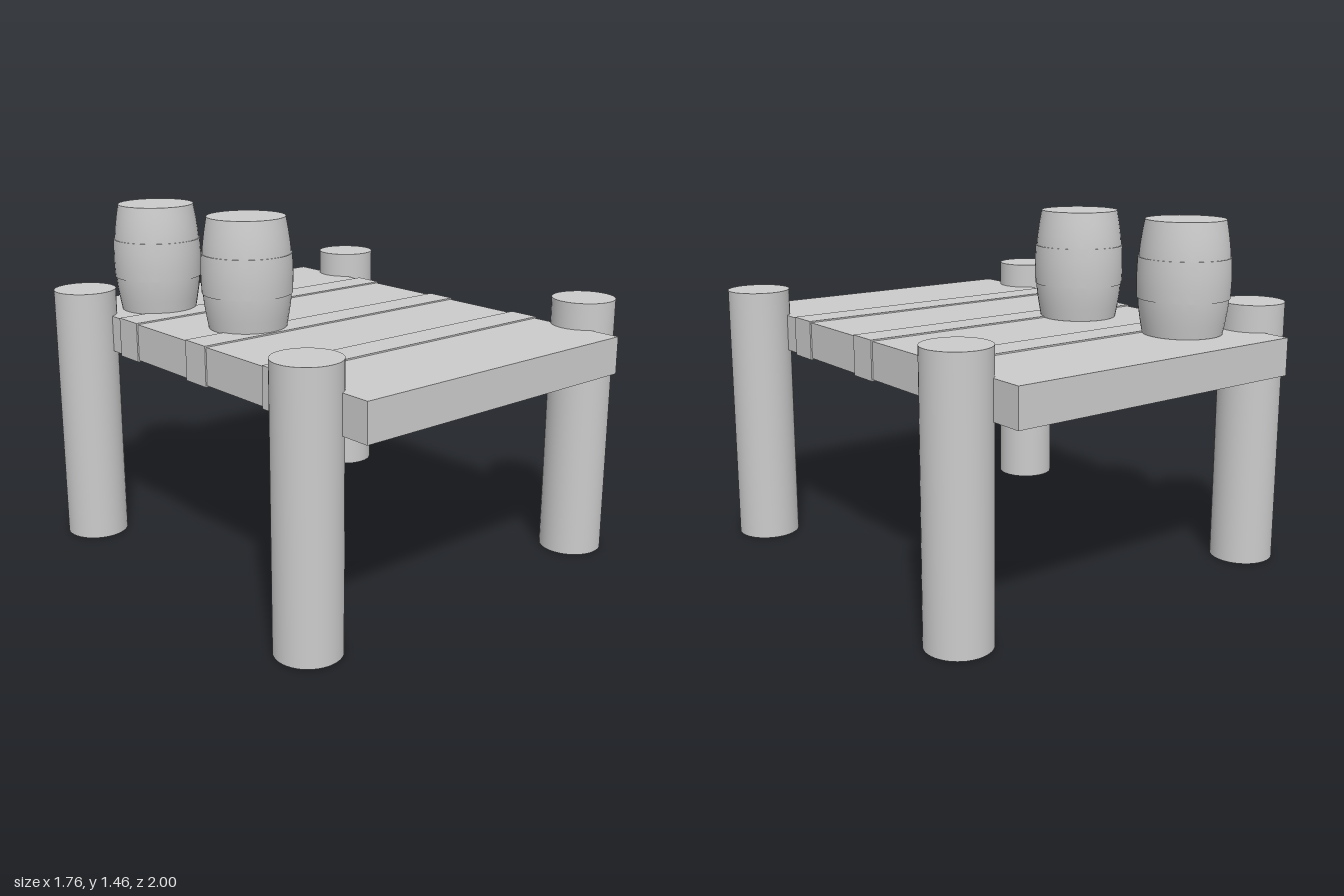
import * as THREE from 'three';
import { toCreasedNormals } from 'three/addons/utils/BufferGeometryUtils.js';

const material = new THREE.MeshStandardMaterial({ color: 0xcccccc });

export function createModel() {
  const model = new THREE.Group();
  model.name = 'pier';

  function add(parent, name, geometry, x, y, z) {
    const mesh = new THREE.Mesh(geometry, material);
    mesh.name = name;
    mesh.position.set(x, y, z);
    parent.add(mesh);
  }

  // Deck slab with three slightly proud cross planks
  const deck = new THREE.Group();
  deck.name = 'deck';
  model.add(deck);
  add(deck, 'deckSlab', new THREE.BoxGeometry(1.36, 0.155, 2), -0.01, 0.923, 0);
  for (const z of [-0.5, 0, 0.5]) {
    add(deck, 'crossPlank', new THREE.BoxGeometry(1.373, 0.167, 0.135), -0.01, 0.923, z);
  }

  // Round corner posts
  const post = new THREE.CylinderGeometry(0.132, 0.132, 1.112, 48);
  for (const x of [-0.75, 0.75]) {
    for (const z of [-0.757, 0.757]) add(model, 'post', post, x, 0.556, z);
  }

  // Barrel: bulging staves with a stepped middle band
  const profile = [
    [0, 0], [0.163, 0], [0.172, 0.05], [0.18, 0.1], [0.184, 0.145],
    [0.188, 0.145], [0.19, 0.19], [0.191, 0.228], [0.19, 0.265], [0.188, 0.31],
    [0.184, 0.31], [0.18, 0.355], [0.172, 0.41], [0.163, 0.46], [0, 0.46],
  ].map(([r, y]) => new THREE.Vector2(r, y));
  const barrel = toCreasedNormals(new THREE.LatheGeometry(profile, 40), 0.4);
  add(model, 'frontBarrel', barrel, -0.355, 1.002, -0.11);
  add(model, 'backBarrel', barrel, -0.43, 1.002, -0.67);

  return model;
}
